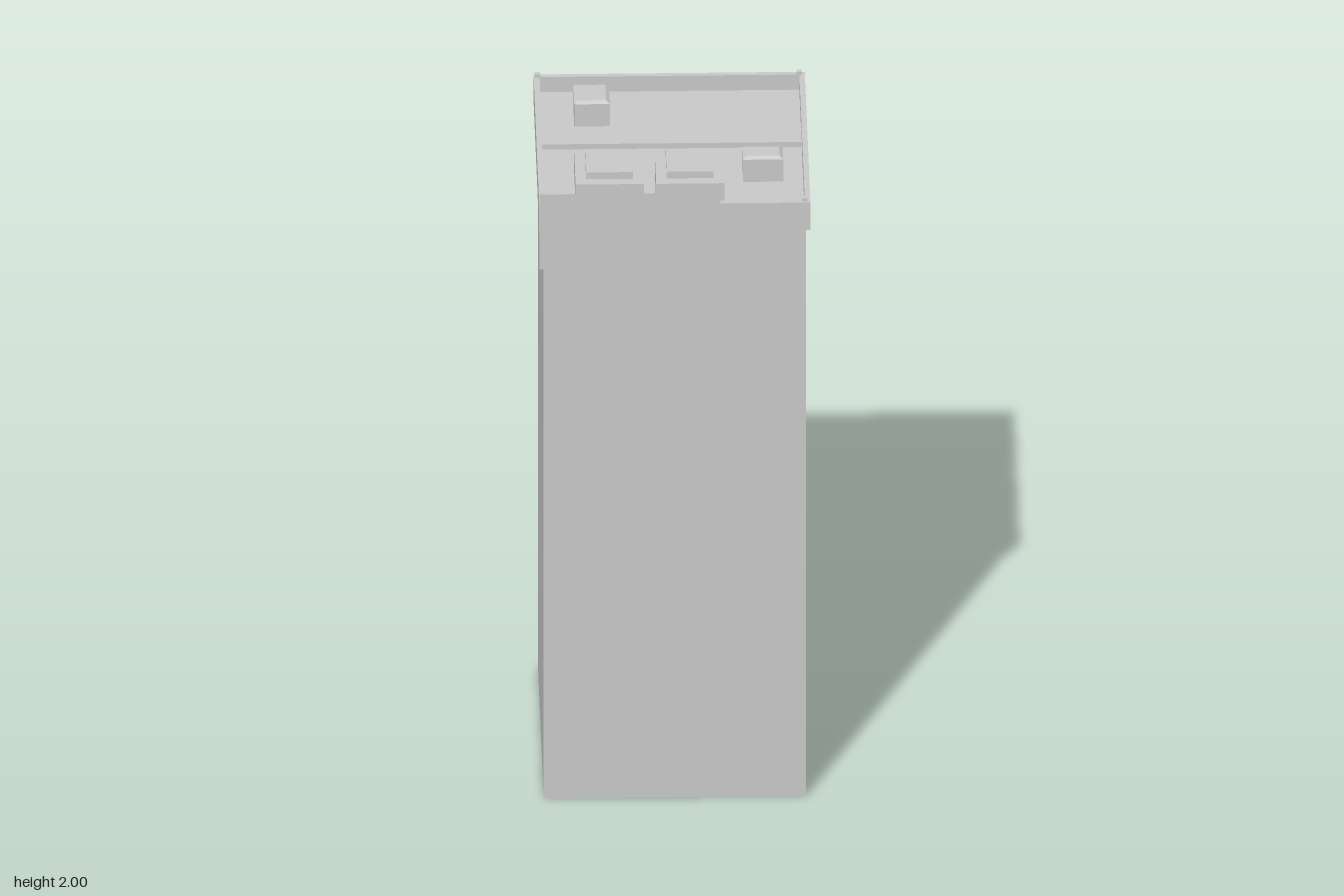
import * as THREE from 'three';

const material = new THREE.MeshStandardMaterial({ color: 0xcccccc, flatShading: true });
const thinMaterial = new THREE.MeshStandardMaterial({ color: 0xcccccc, side: THREE.DoubleSide });

const DECK = 1.91, WALL_BOTTOM = 1.87, WALL_TOP = 1.96;

// Box given by its limits on each axis
function box(name, [x0, x1], [y0, y1], [z0, z1]) {
  const mesh = new THREE.Mesh(new THREE.BoxGeometry(x1 - x0, y1 - y0, z1 - z0), material);
  mesh.name = name;
  mesh.position.set((x0 + x1) / 2, (y0 + y1) / 2, (z0 + z1) / 2);
  return mesh;
}

// Box whose top face is drawn in by an inset on each side
function taperedBox(name, xs, ys, zs, inset) {
  const mesh = box(name, xs, ys, zs);
  const p = mesh.geometry.attributes.position;
  for (let i = 0; i < p.count; i++) {
    if (p.getY(i) > 0) {
      p.setX(i, p.getX(i) - Math.sign(p.getX(i)) * inset);
      p.setZ(i, p.getZ(i) - Math.sign(p.getZ(i)) * inset);
    }
  }
  mesh.geometry.computeVertexNormals();
  return mesh;
}

// Rectangle in plan; shape y becomes -z once laid flat
function rectangle(Type, [x0, x1], [z0, z1]) {
  const r = new Type();
  r.moveTo(x0, -z1).lineTo(x1, -z1).lineTo(x1, -z0).lineTo(x0, -z0).closePath();
  return r;
}

export function createModel() {
  const model = new THREE.Group();
  model.name = 'towerBlock';

  // Tower shaft up to the roof deck
  model.add(box('tower', [-0.38, 0.379], [0, DECK], [-0.382, 0.382]));

  // Parapet ring around the sunken roof
  const ring = rectangle(THREE.Shape, [-0.393, 0.391], [-0.397, 0.388]);
  ring.holes.push(rectangle(THREE.Path, [-0.376, 0.375], [-0.381, 0.37]));
  const parapet = new THREE.Mesh(
    new THREE.ExtrudeGeometry(ring, { depth: WALL_TOP - WALL_BOTTOM, bevelEnabled: false }), material);
  parapet.name = 'parapet';
  parapet.rotation.x = -Math.PI / 2;
  parapet.position.y = WALL_BOTTOM;
  model.add(parapet);

  // Small posts on the parapet corners
  for (const x of [-0.382, 0.375]) {
    for (const z of [-0.386, 0.374]) {
      model.add(box('cornerPost', [x - 0.008, x + 0.008], [DECK, 1.97], [z - 0.007, z + 0.007]));
    }
  }

  // Low ridge across the roof
  model.add(box('roofRidge', [-0.376, 0.375], [DECK - 0.01, 1.927], [-0.129, -0.036]));

  // Two large roof units with raised caps
  for (const x of [-0.187, 0.046]) {
    const unit = new THREE.Group();
    unit.name = 'largeRoofUnit';
    unit.add(
      box('unitBase', [x - 0.099, x + 0.099], [DECK - 0.01, 1.978], [0.102, 0.3]),
      box('unitCap', [x - 0.068, x + 0.068], [1.97, 2], [0.133, 0.268]));
    model.add(unit);
  }

  // Two small roof vents with chamfered tops
  for (const [xs, zs] of [[[0.201, 0.317], [0.093, 0.17]], [[-0.28, -0.177], [-0.288, -0.173]]]) {
    const vent = new THREE.Group();
    vent.name = 'roofVent';
    vent.add(
      box('ventBase', xs, [DECK - 0.01, 1.983], zs),
      taperedBox('ventTop', xs, [1.983, 1.99], zs, 0.011));
    model.add(vent);
  }

  // Thin blank sign panel on the front
  const sign = new THREE.Mesh(new THREE.PlaneGeometry(0.522, 0.247), thinMaterial);
  sign.name = 'signPanel';
  sign.position.set(-0.131, 1.8765, 0.397);
  model.add(sign);

  return model;
}
